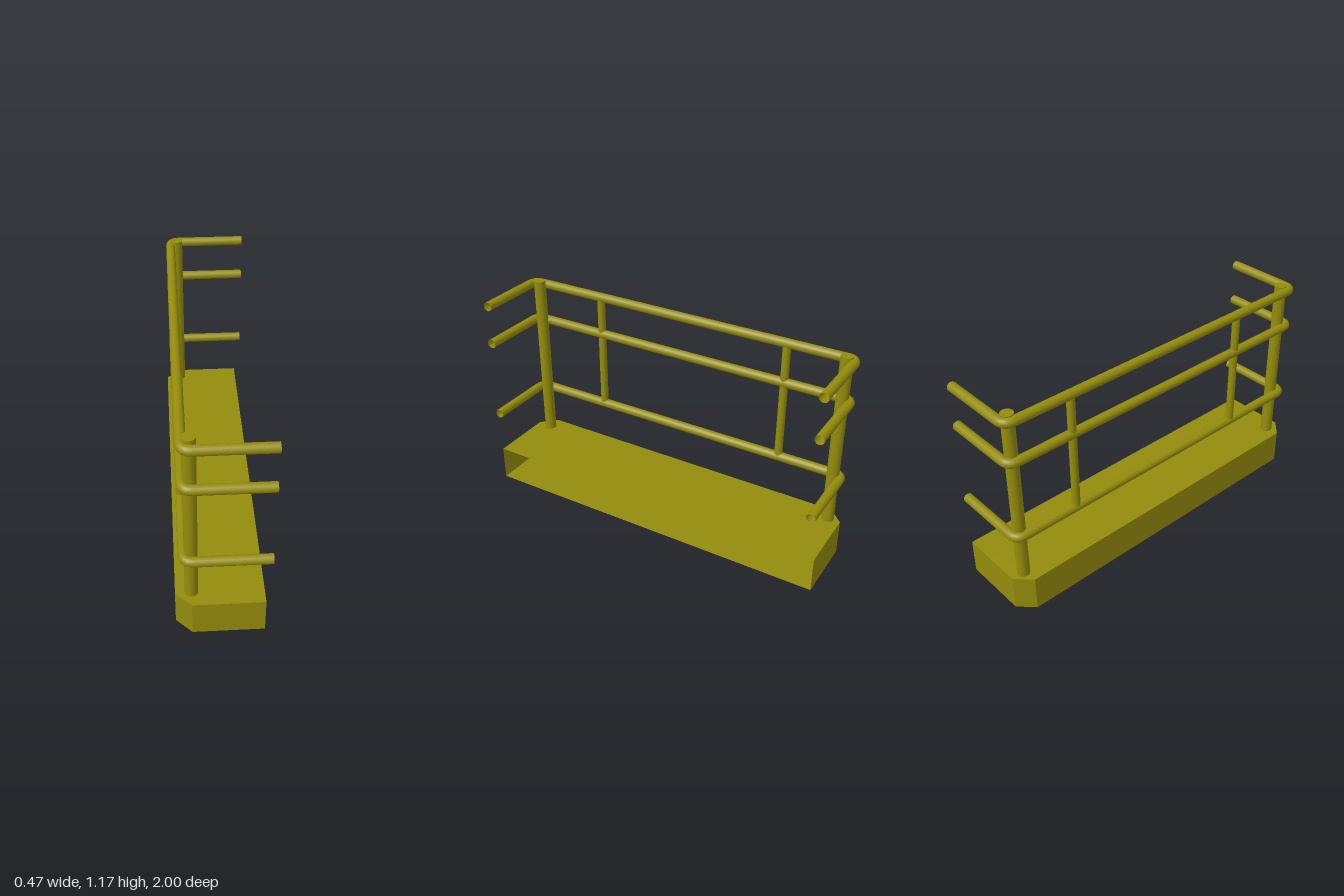
import * as THREE from 'three';

const paint = new THREE.MeshStandardMaterial({ color: 0x948c0c, side: THREE.DoubleSide });
const flatPaint = paint.clone();
flatPaint.flatShading = true;

function add(parent, name, geometry, material = paint) {
  const mesh = new THREE.Mesh(geometry, material);
  mesh.name = name;
  parent.add(mesh);
  return mesh;
}

// Hollow box platform with two cut corners, open along its +x side
function makePlatform() {
  const platform = new THREE.Group();
  platform.name = 'platform';
  const height = 0.198;
  const outline = [
    [0.205, 1], [-0.155, 1], [-0.235, 0.92],
    [-0.235, -0.92], [-0.155, -1], [0.205, -1],
  ];

  // Deck and underside; the shape is drawn in x and -z, then laid flat
  const shape = new THREE.Shape(outline.map(([x, z]) => new THREE.Vector2(x, -z)));
  const deck = new THREE.ShapeGeometry(shape).rotateX(-Math.PI / 2);
  add(platform, 'deck', deck, flatPaint).position.y = height;
  add(platform, 'underside', deck.clone(), flatPaint);

  // Side walls along the outline, leaving the last side open
  for (let i = 0; i < outline.length - 1; i++) {
    const [x0, z0] = outline[i];
    const [x1, z1] = outline[i + 1];
    const wall = new THREE.PlaneGeometry(Math.hypot(x1 - x0, z1 - z0), height);
    const mesh = add(platform, 'sideWall', wall, flatPaint);
    mesh.position.set((x0 + x1) / 2, height / 2, (z0 + z1) / 2);
    mesh.rotation.y = Math.atan2(z1 - z0, -(x1 - x0));
    // Turn each wall so that it faces outward
    mesh.rotation.y = Math.atan2(z1 - z0, x0 - x1);
  }
  return platform;
}

// U-shaped rail with rounded corners and open pipe ends
function makeRail() {
  const back = -0.19, end = 0.233, side = 0.97, bend = 0.05;
  const v = (x, z) => new THREE.Vector3(x, 0, z);
  const path = new THREE.CurvePath();
  path.add(new THREE.LineCurve3(v(end, side), v(back + bend, side)));
  path.add(new THREE.QuadraticBezierCurve3(v(back + bend, side), v(back, side), v(back, side - bend)));
  path.add(new THREE.LineCurve3(v(back, side - bend), v(back, bend - side)));
  path.add(new THREE.QuadraticBezierCurve3(v(back, bend - side), v(back, -side), v(back + bend, -side)));
  path.add(new THREE.LineCurve3(v(back + bend, -side), v(end, -side)));
  return new THREE.TubeGeometry(path, 200, 0.0255, 20, false);
}

export function createModel() {
  const model = new THREE.Group();
  model.name = 'railedPlatform';
  model.add(makePlatform());

  // Three horizontal rails
  const rail = makeRail();
  const railHeights = { bottomRail: 0.467, middleRail: 0.917, topRail: 1.14 };
  for (const [name, y] of Object.entries(railHeights)) add(model, name, rail).position.y = y;

  // Corner posts standing on the deck
  const post = new THREE.CylinderGeometry(0.033, 0.033, 0.972, 24);
  for (const z of [0.912, -0.93]) add(model, 'cornerPost', post).position.set(-0.154, 0.684, z);

  // Thin uprights joining the rails
  const upright = new THREE.CylinderGeometry(0.0215, 0.0215, 0.673, 20, 1, true);
  for (const z of [0.516, -0.605]) add(model, 'upright', upright).position.set(-0.19, 0.8035, z);

  return model;
}
